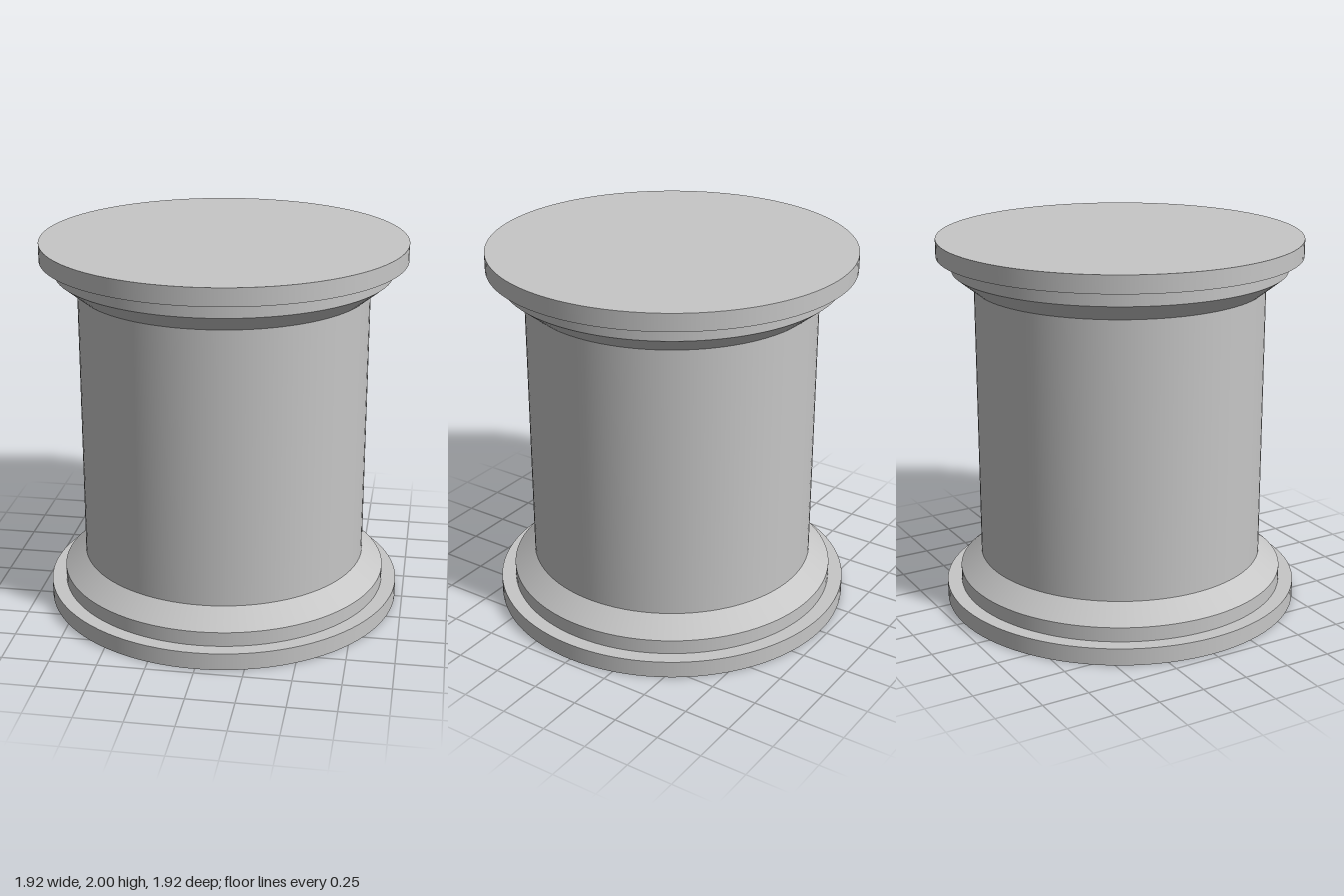
import * as THREE from 'three';

const SEGMENTS = 96;

export function createModel() {
  const model = new THREE.Group();
  model.name = 'spool';
  const grey = new THREE.MeshStandardMaterial({ color: 0xc6c6c6 });
  grey.name = 'light grey';

  // A round section of the spool between two heights
  function section(name, bottomRadius, topRadius, y0, y1, open, parent) {
    const geometry = new THREE.CylinderGeometry(topRadius, bottomRadius, y1 - y0, SEGMENTS, 1, open);
    const mesh = new THREE.Mesh(geometry, grey);
    mesh.name = name;
    mesh.position.y = (y0 + y1) / 2;
    parent.add(mesh);
  }

  // Central drum
  section('drum', 0.768, 0.768, 0.262, 1.738, true, model);

  // Matching ends: flange disc, stepped collar and taper down to the drum
  for (const name of ['bottomEnd', 'topEnd']) {
    const end = new THREE.Group();
    end.name = name;
    section('flange', 0.96, 0.96, 0, 0.092, false, end);
    section('collar', 0.882, 0.882, 0.092, 0.17, true, end);
    section('taper', 0.882, 0.768, 0.17, 0.262, true, end);
    if (name === 'topEnd') {
      end.rotation.x = Math.PI;
      end.position.y = 2;
    }
    model.add(end);
  }
  return model;
}
